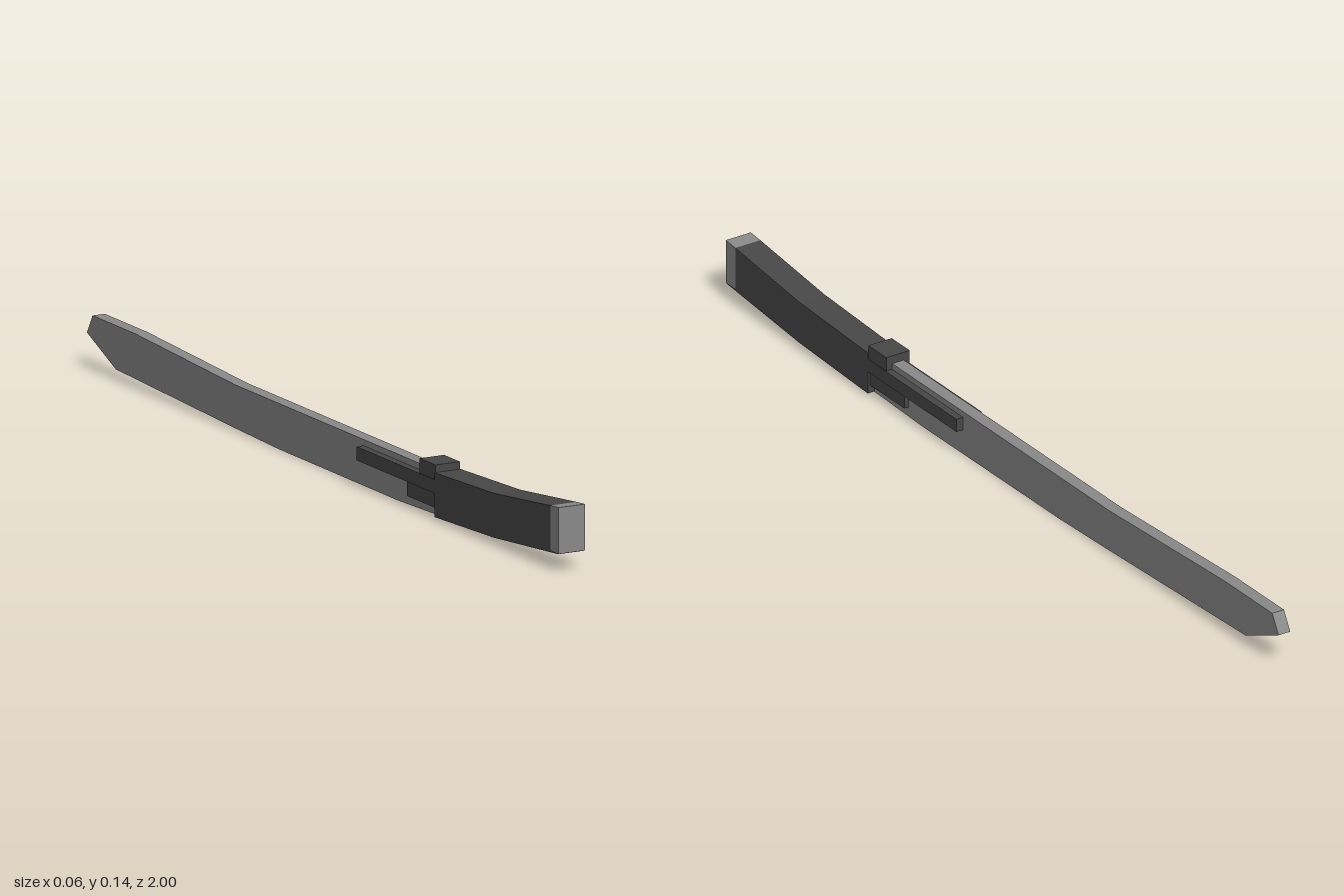
import * as THREE from 'three';

export function createModel() {
  const model = new THREE.Group();
  model.name = 'sword';

  const steel = new THREE.MeshStandardMaterial({ color: 0x8a8a8a });
  steel.name = 'steel grey';
  const grip = new THREE.MeshStandardMaterial({ color: 0x484848 });
  grip.name = 'dark grip';

  // Side outline of [z, y] points, extruded across x between x0 and x1
  function slab(name, material, points, x0, x1) {
    const shape = new THREE.Shape(points.map(([z, y]) => new THREE.Vector2(z, y)));
    const geometry = new THREE.ExtrudeGeometry(shape, { depth: x1 - x0, bevelEnabled: false });
    geometry.rotateY(-Math.PI / 2);
    geometry.translate(x1, 0, 0);
    const mesh = new THREE.Mesh(geometry, material);
    mesh.name = name;
    model.add(mesh);
  }
  const rect = (z0, z1, y0, y1) => [[z0, y0], [z1, y0], [z1, y1], [z0, y1]];

  // Gently curved blade with a clipped tip
  slab('blade', steel, [
    [0.5, 0.008], [0.3, 0.002], [-0.2, 0.003], [-0.38, 0.008], [-0.88, 0.025],
    [-1, 0.077], [-0.977, 0.118], [-0.8, 0.118], [-0.38, 0.1], [0.5, 0.1],
  ], -0.0145, 0.0145);

  // Curved handle, with a thin lip running under the end cap
  slab('handle', grip, [
    [0.48, 0.008], [0.73, 0.018], [0.998, 0.041], [0.998, 0.043],
    [0.965, 0.043], [0.965, 0.137], [0.73, 0.112], [0.48, 0.102],
  ], -0.031, 0.031);

  // Light cap closing the handle
  slab('endCap', steel, [[0.965, 0.043], [1, 0.043], [1, 0.14], [0.965, 0.137]], -0.031, 0.031);

  // Small block over the spine
  slab('guardBlock', grip, rect(0.415, 0.481, 0.086, 0.118), -0.029, 0.029);

  // Stepped prongs clasping both sides of the blade
  for (const side of [-1, 1]) {
    const label = side > 0 ? 'left' : 'right';
    const plate = (name, outline, outer) =>
      slab(label + name, grip, outline, Math.min(side * 0.0145, side * outer), Math.max(side * 0.0145, side * outer));
    plate('LongProng', rect(0.155, 0.48, 0.058, 0.087), 0.031);
    plate('ShortProng', rect(0.355, 0.48, 0.025, 0.058), 0.025);
  }

  return model;
}
